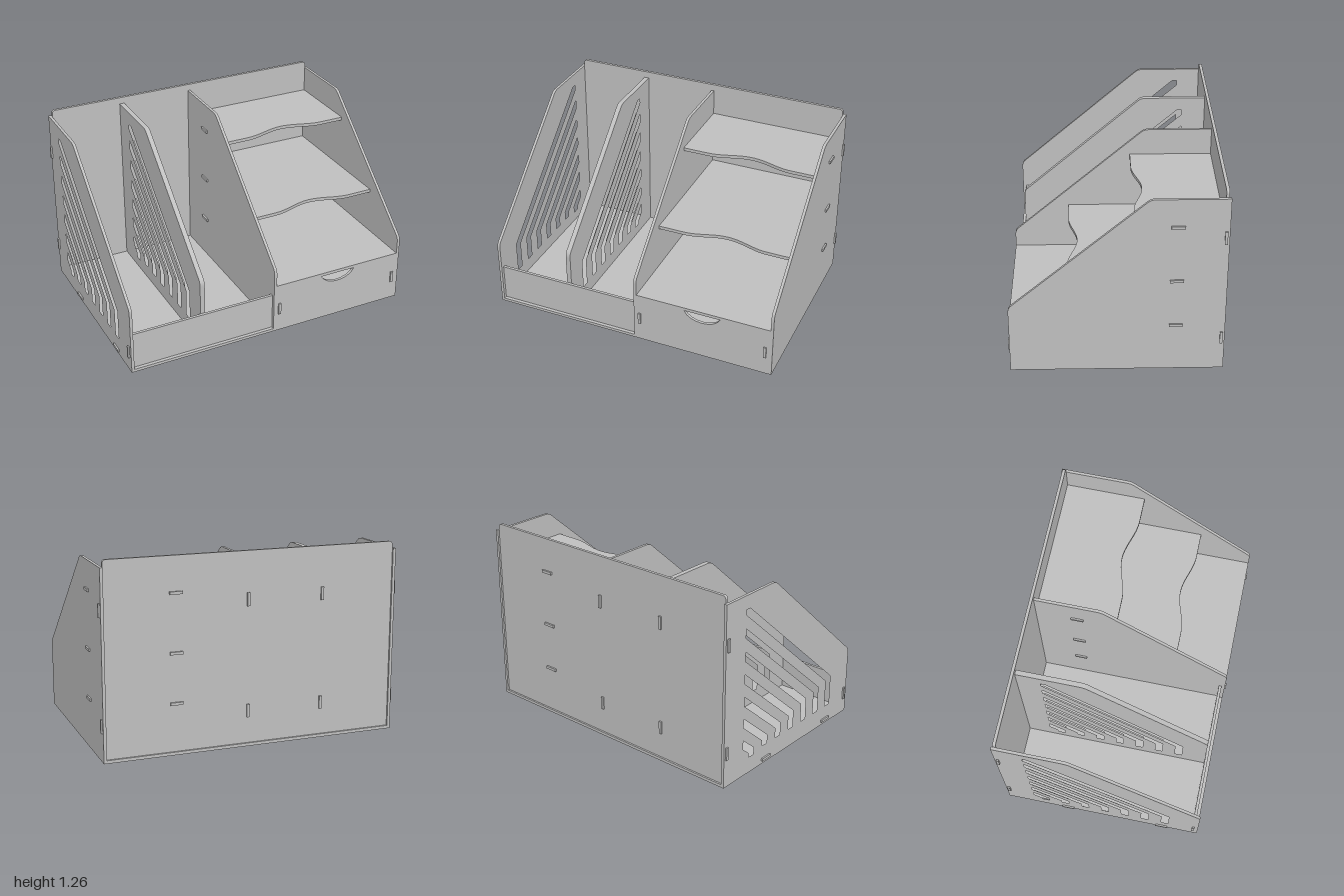
import * as THREE from 'three';

const T = 0.019; // board thickness

export function createModel() {
  const model = new THREE.Group();
  const grey = new THREE.MeshStandardMaterial({ color: 0xbfbfbf });

  const add = (geometry, name) => {
    const mesh = new THREE.Mesh(geometry, grey);
    mesh.name = name;
    model.add(mesh);
    return mesh;
  };
  // Box given by its limits on each axis
  const box = (name, x0, x1, y0, y1, z0, z1) =>
    add(new THREE.BoxGeometry(x1 - x0, y1 - y0, z1 - z0)
      .translate((x0 + x1) / 2, (y0 + y1) / 2, (z0 + z1) / 2), name);
  const extrude = (shape, depth) =>
    new THREE.ExtrudeGeometry(shape, { depth, bevelEnabled: false, curveSegments: 8 });

  // Slanted upright board, drawn as (-z, y) and extruded along x
  const upright = (name, x, thick, bottom, back, front, slotted) => {
    const s = new THREE.Shape();
    const cut = 0.477 + (0.655 - front + 0.01) * 0.864;
    s.moveTo(-front, bottom);
    s.lineTo(-front, cut - 0.04);
    s.quadraticCurveTo(-front, cut - 0.009, -front + 0.02, cut + 0.0085);
    s.lineTo(0.185, 1.203);
    s.quadraticCurveTo(0.205, 1.22, 0.235, 1.22);
    s.lineTo(-back, 1.22);
    s.lineTo(-back, bottom);
    if (slotted) {
      // Bent slots: upright foot, then parallel to the slanted edge
      const rear = 0.487, slope = 0.864, w = 0.05;
      for (let i = 0; i < 7; i++) {
        const a = -0.46 + 0.14 * i, knee = 0.34 - 0.03 * i;
        const low = knee - 0.02, floor = Math.min(0.13, low - 0.03);
        const end = knee + slope * (rear - a);
        const hole = new THREE.Path();
        hole.moveTo(a, floor);
        hole.lineTo(a, knee);
        if (end > 1.13) hole.lineTo(a + (1.13 - knee) / slope, 1.13);
        hole.lineTo(rear, Math.min(end, 1.13));
        hole.lineTo(rear, low + slope * (rear - a - w));
        hole.lineTo(a + w, low);
        hole.lineTo(a + w, floor);
        hole.closePath();
        s.holes.push(hole);
      }
    }
    add(extrude(s, thick).rotateY(Math.PI / 2).translate(x, 0, 0), name);
  };

  // Base and uprights
  box('base', -0.968, 0.968, 0, 0.02, -0.677, 0.667);
  box('compartmentFloor', -0.968, 0.025, 0.02, 0.04, -0.645, 0.625);
  upright('rightPanel', -0.987, T, 0, -0.677, 0.667, true);
  upright('leftPanel', 0.968, T, 0, -0.677, 0.667, false);
  upright('slottedDivider', -0.487, 0.032, 0.04, -0.645, 0.625, true);
  upright('shelfDivider', 0.025, T, 0.02, -0.645, 0.667, false);

  // Back board with rounded top corners
  const b = new THREE.Shape();
  b.moveTo(-0.968, 0.02);
  b.lineTo(0.968, 0.02);
  b.lineTo(0.968, 1.24);
  b.quadraticCurveTo(0.968, 1.265, 0.945, 1.265);
  b.lineTo(-0.945, 1.265);
  b.quadraticCurveTo(-0.968, 1.265, -0.968, 1.24);
  add(extrude(b, 0.02).translate(0, 0, -0.665), 'backPanel');

  // Low front board of the file compartment
  box('compartmentFront', -0.968, 0.025, 0.02, 0.27, 0.625, 0.644);

  // Shelves with a wavy front edge
  const shelf = (name, y, front) => {
    const s = new THREE.Shape();
    s.moveTo(0.044, 0.645);
    s.lineTo(0.044, -front);
    for (let i = 0; i <= 24; i++) {
      const u = i / 24;
      s.lineTo(0.22 + 0.58 * u, -front + 0.03 * (1 - Math.cos(2 * Math.PI * u)));
    }
    s.lineTo(0.968, -front);
    s.lineTo(0.968, 0.645);
    add(extrude(s, 0.022).rotateX(-Math.PI / 2).translate(0, y, 0), name);
  };
  shelf('middleShelf', 0.643, 0.3);
  shelf('topShelf', 1.021, -0.11);
  box('drawerCover', 0.044, 0.968, 0.328, 0.349, -0.645, 0.667);

  // Drawer front with a curved finger notch
  const d = new THREE.Shape();
  d.moveTo(0.044, 0.02);
  d.lineTo(0.968, 0.02);
  d.lineTo(0.968, 0.328);
  d.lineTo(0.63, 0.328);
  d.bezierCurveTo(0.59, 0.243, 0.42, 0.243, 0.38, 0.328);
  d.lineTo(0.044, 0.328);
  add(extrude(d, T).translate(0, 0, 0.648), 'drawerFront');
  box('drawerBottom', 0.055, 0.957, 0.022, 0.04, -0.6, 0.648);
  box('drawerBack', 0.055, 0.957, 0.04, 0.31, -0.6, -0.58);
  for (const x of [0.066, 0.938]) {
    box('drawerSide', x - 0.009, x + 0.009, 0.04, 0.31, -0.58, 0.648);
    box('drawerTab', x - 0.009, x + 0.009, 0.13, 0.21, 0.64, 0.677);
  }

  // Joint tabs showing through the boards
  for (const y of [0.333, 0.656, 1.034]) {
    box('shelfSideTab', 0.96, 0.998, y - 0.009, y + 0.009, -0.41, -0.327);
    box('shelfDividerTab', 0.014, 0.04, y - 0.009, y + 0.009, -0.41, -0.327);
    box('shelfBackTab', 0.47, 0.553, y - 0.009, y + 0.009, -0.677, -0.65);
  }
  for (const y of [0.235, 0.958]) {
    for (const side of [-1, 1])
      box('backSideTab', Math.min(side * 0.96, side * 0.998), Math.max(side * 0.96, side * 0.998),
        y - 0.043, y + 0.043, -0.664, -0.647);
    for (const x of [-0.471, 0.035])
      box('dividerBackTab', x - 0.009, x + 0.009, y - 0.043, y + 0.043, -0.677, -0.65);
  }
  box('frontSideTab', -0.998, -0.96, 0.1, 0.185, 0.626, 0.643);
  for (const z of [-0.25, 0.415])
    box('floorSideTab', -0.998, -0.96, 0.022, 0.04, z - 0.042, z + 0.042);

  return model;
}
